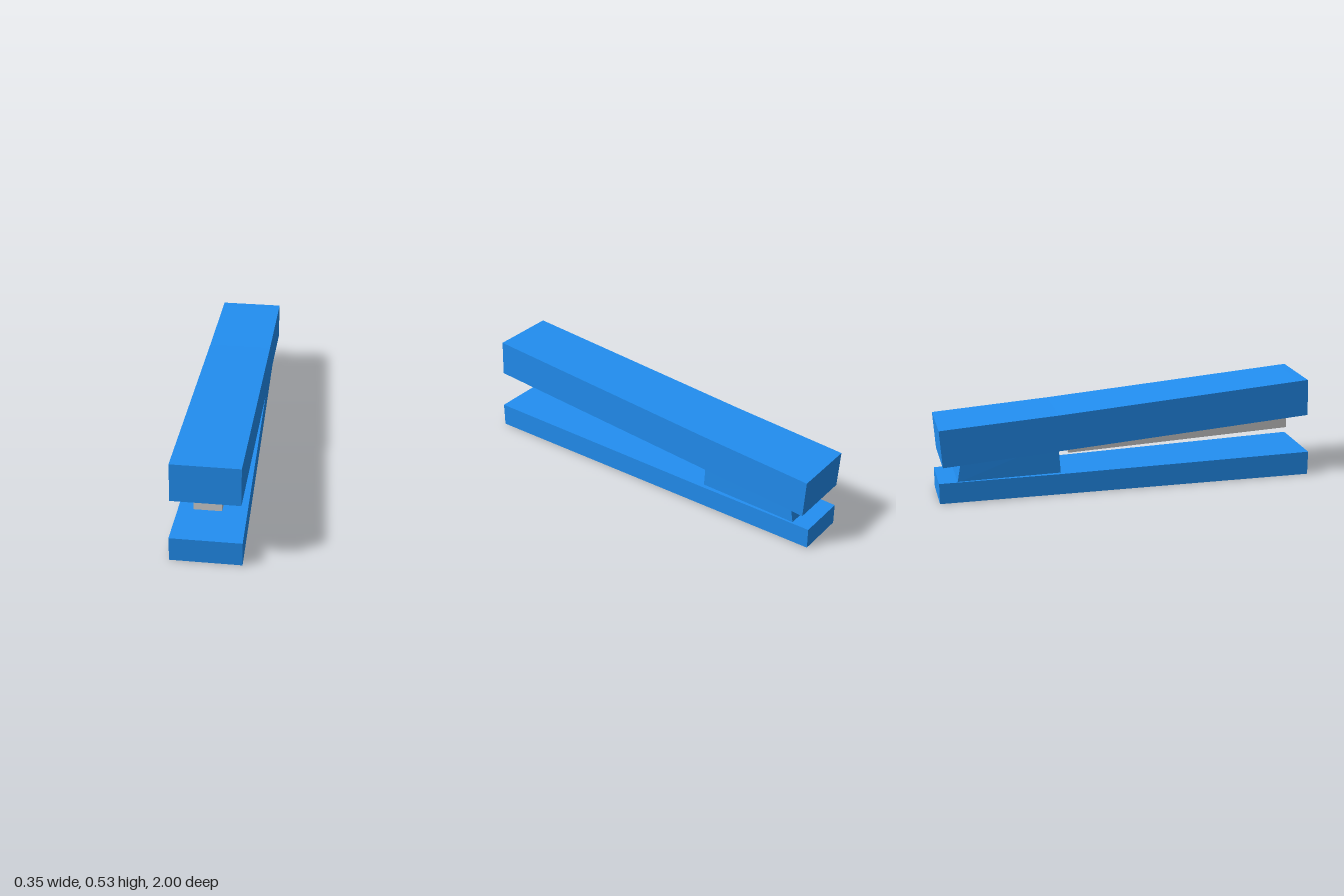
import * as THREE from 'three';

const blue = new THREE.MeshStandardMaterial({ color: 0x228ff2, flatShading: true });
const grey = new THREE.MeshStandardMaterial({ color: 0xcccccc, flatShading: true });

// One cross-section, counter-clockwise seen from the front. The station may lean
// (zTop differs from zBot); a groove { half, depth } cuts the underside.
function section(zTop, yTop, zBot, yBot, half, groove, halfTop = half) {
  const at = (x, y) => new THREE.Vector3(x, y, zBot + (zTop - zBot) * (y - yBot) / (yTop - yBot));
  const ring = [at(-half, yBot)];
  if (groove) {
    const { half: g, depth } = groove;
    ring.push(at(-g, yBot), at(-g, yBot + depth), at(g, yBot + depth), at(g, yBot));
  }
  ring.push(at(half, yBot), at(halfTop, yTop), at(-halfTop, yTop));
  return ring;
}

// Skin consecutive sections from front to back and close both ends.
function loft(name, material, rings) {
  const pos = [];
  const tri = (a, b, c) => {
    const area = b.clone().sub(a).cross(c.clone().sub(a)).length();
    if (area > 1e-8) for (const p of [a, b, c]) pos.push(p.x, p.y, p.z);
  };
  const n = rings[0].length;
  for (let s = 0; s < rings.length - 1; s++) {
    const a = rings[s], b = rings[s + 1];
    for (let i = 0; i < n; i++) {
      const j = (i + 1) % n;
      tri(a[i], b[i], b[j]);
      tri(a[i], b[j], a[j]);
    }
  }
  const front = rings[0], back = rings[rings.length - 1];
  for (let i = 0; i < n - 2; i++) {
    tri(front[n - 1], front[i], front[i + 1]);
    tri(back[n - 1], back[i + 1], back[i]);
  }
  const geometry = new THREE.BufferGeometry();
  geometry.setAttribute('position', new THREE.Float32BufferAttribute(pos, 3));
  geometry.computeVertexNormals();
  const mesh = new THREE.Mesh(geometry, material);
  mesh.name = name;
  return mesh;
}

export function createModel() {
  const group = new THREE.Group();
  group.name = 'stapler';

  // Base, tapering towards the back
  group.add(loft('base', blue, [
    section(1, 0.128, 1, 0, 0.177),
    section(-0.37, 0.112, -0.37, 0, 0.145),
    section(-1, 0.11, -1, 0, 0.13),
  ]));

  // Hinge block between base and cover, reaching the cover's ceiling
  group.add(loft('hingeBlock', blue, [
    section(-0.376, 0.294, -0.364, 0.105, 0.122, null, 0.121),
    section(-0.875, 0.26, -0.905, 0.105, 0.122, null, 0.119),
  ]));

  // Top cover: slightly bent bar with a closed groove underneath
  const solid = { half: 0.122, depth: 0 };
  const open = { half: 0.122, depth: 0.046 };
  group.add(loft('topCover', blue, [
    section(0.98, 0.534, 0.99, 0.337, 0.169, solid),
    section(0.935, 0.531, 0.945, 0.334, 0.169, solid),
    section(0.935, 0.531, 0.945, 0.334, 0.169, open),
    section(-0.378, 0.44, -0.37, 0.247, 0.167, open),
    section(-0.947, 0.408, -0.935, 0.21, 0.166, open),
    section(-0.947, 0.408, -0.935, 0.21, 0.166, solid),
    section(-0.992, 0.405, -0.98, 0.207, 0.166, solid),
  ]));

  // Staple magazine hanging from the groove
  group.add(loft('magazine', grey, [
    section(0.9, 0.377, 0.91, 0.242, 0.068),
    section(-0.32, 0.297, -0.312, 0.199, 0.068),
  ]));

  return group;
}
